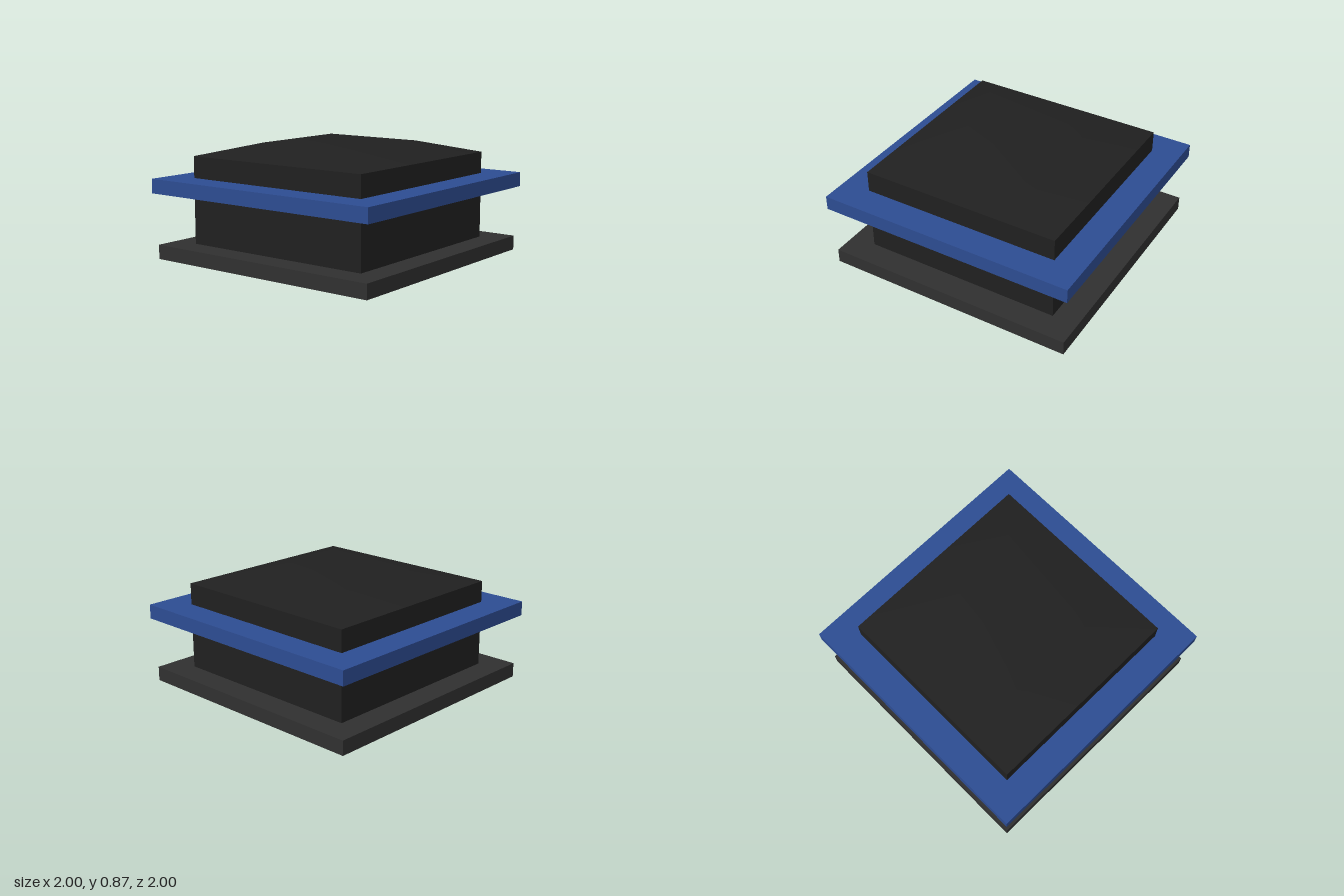
import * as THREE from 'three';
import { toCreasedNormals } from 'three/addons/utils/BufferGeometryUtils.js';

export function createModel() {
  const model = new THREE.Group();

  const add = (name, geometry, color) => {
    const mesh = new THREE.Mesh(geometry, new THREE.MeshStandardMaterial({ color }));
    mesh.name = name;
    model.add(mesh);
    return mesh;
  };

  // Square slab between two heights
  const slab = (name, width, bottom, top, color) => {
    const mesh = add(name, new THREE.BoxGeometry(width, top - bottom, width), color);
    mesh.position.y = (bottom + top) / 2;
  };

  slab('basePlate', 1.945, 0, 0.11, 0x303030);
  slab('middlePlate', 2, 0.503, 0.613, 0x2d4c92);

  // Square body with a shallow sloped cap: [half width, height], turned in four sides
  const profile = [[0, 0], [0.778, 0], [0.778, 0.778], [0.41, 0.873], [0, 0.873]]
    .map(([half, y]) => new THREE.Vector2(half * Math.SQRT2, y));
  const body = new THREE.LatheGeometry(profile, 4, Math.PI / 4);
  // Soft shading over the cap, sharp edges on the walls
  add('body', toCreasedNormals(body, 0.6), 0x202020);

  return model;
}
